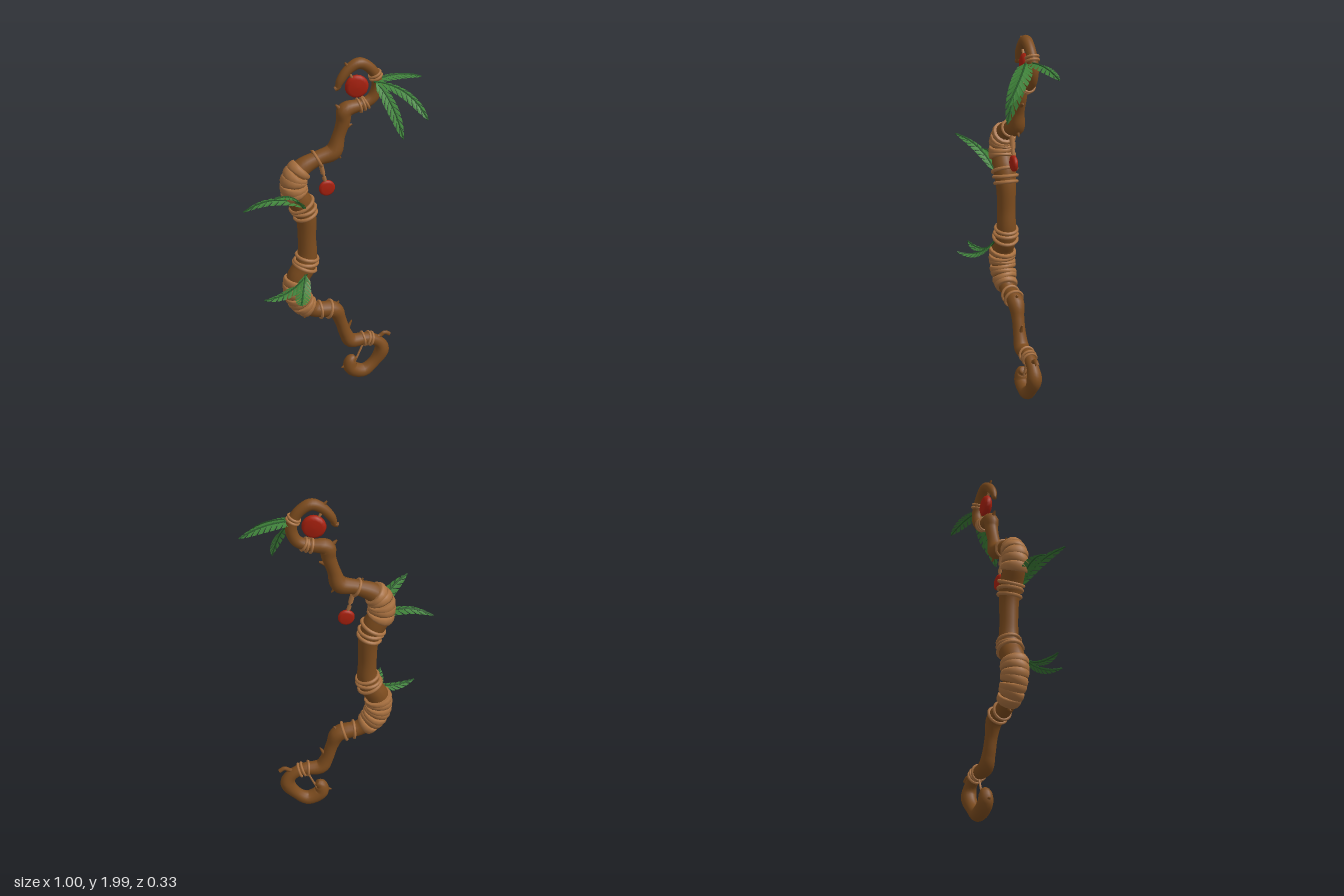
import * as THREE from 'three';

const Z = -0.09; // depth of the bow's centre plane
const V = (x, y, z = Z) => new THREE.Vector3(x, y, z);
const mat = (name, color, side = THREE.FrontSide) => {
  const m = new THREE.MeshStandardMaterial({ color, side });
  m.name = name;
  return m;
};

// Branch spine: x, y, radius
const SPINE = [
  [.02, 1.84, .01], [.04, 1.89, .022], [.085, 1.945, .026], [.14, 1.97, .03], [.195, 1.94, .028], [.23, 1.89, .028],
  [.24, 1.83, .03], [.215, 1.77, .03], [.16, 1.74, .03], [.065, 1.72, .042], [.055, 1.66, .037], [.03, 1.58, .034],
  [0, 1.495, .046], [-.08, 1.47, .04], [-.17, 1.43, .05], [-.215, 1.37, .057], [-.215, 1.29, .06], [-.18, 1.22, .063],
  [-.155, 1.14, .056], [-.15, 1, .05], [-.15, .89, .055], [-.17, .82, .062], [-.205, .76, .062], [-.215, .68, .06],
  [-.185, .6, .056], [-.115, .535, .044], [.005, .505, .046], [.04, .43, .035], [.07, .335, .036], [.105, .275, .042],
  [.21, .265, .034], [.275, .225, .034], [.295, .17, .042], [.245, .09, .034], [.18, .047, .04], [.105, .085, .042],
  [.105, .135, .034], [.13, .155, .018]];
const spine = new THREE.CatmullRomCurve3(SPINE.map(p => new THREE.Vector3(...p)));
const at = t => spine.getPoint(THREE.MathUtils.clamp(t / (SPINE.length - 1), 0, 1));
const dirAt = t => {
  const d = at(t + .05).sub(at(t - .05));
  d.z = 0;
  return d.normalize();
};

// Skin of the branch between two spine stations, with a radius rule
function sleeve(t0, t1, steps, radius, tilt = 0) {
  const sides = 14, pos = [], idx = [];
  const ring = (t, r) => {
    const p = at(t), d = dirAt(t), n = new THREE.Vector3(-d.y, d.x, 0);
    for (let j = 0; j < sides; j++) {
      const a = j / sides * Math.PI * 2, c = Math.cos(a) * r, k = Math.sin(a) * tilt;
      pos.push(p.x + n.x * c + d.x * k, p.y + n.y * c + d.y * k, Z + Math.sin(a) * r);
    }
  };
  ring(t0, .0005);
  for (let i = 0; i <= steps; i++) {
    const u = i / steps, t = t0 + (t1 - t0) * u;
    ring(t, radius(at(t).z, u));
  }
  ring(t1, .0005);
  for (let i = 0; i < steps + 2; i++) for (let j = 0; j < sides; j++) {
    const a = i * sides + j, b = i * sides + (j + 1) % sides;
    idx.push(a, b, a + sides, b, b + sides, a + sides);
  }
  const g = new THREE.BufferGeometry();
  g.setAttribute('position', new THREE.Float32BufferAttribute(pos, 3));
  g.setIndex(idx);
  g.computeVertexNormals();
  return g;
}

// Feathered leaf along a bent rib, made of slanted leaflets
function leafBlade(curve, width) {
  const pos = [], n = 10;
  const rim = (s, side) => {
    s = Math.min(s, 1);
    const d = curve.getTangent(s), w = width * Math.pow(Math.max(0, Math.sin(Math.PI * (.1 + .9 * s))), .65);
    const across = new THREE.Vector3().crossVectors(d, V(0, 1, 0)).normalize();
    return curve.getPoint(s).addScaledVector(across, w * side).add(V(0, -w * .25, 0));
  };
  for (const side of [1, -1]) for (let i = 0; i < n; i++) {
    const s0 = i / n, s1 = (i + 1) / n;
    const q = [curve.getPoint(s0), curve.getPoint(s1), rim(s1 + .1, side), rim(s0 + .125, side)];
    for (const k of side > 0 ? [0, 3, 2, 0, 2, 1] : [0, 2, 3, 0, 1, 2]) pos.push(...q[k].toArray());
  }
  const g = new THREE.BufferGeometry();
  g.setAttribute('position', new THREE.Float32BufferAttribute(pos, 3));
  g.computeVertexNormals();
  return g;
}

export function createModel() {
  const root = new THREE.Group();
  const wood = mat('wood', 0x7d4c1e), wrap = mat('tan binding', 0xa8703f);
  const green = mat('leaf green', 0x3d8038, THREE.DoubleSide), rib = mat('rib green', 0x28592a);
  const red = mat('bead red', 0xa8200e);
  const add = (name, geo, m, parent = root) => {
    const mesh = new THREE.Mesh(geo, m);
    mesh.name = name;
    parent.add(mesh);
    return mesh;
  };
  const tube = (name, pts, r, m) =>
    add(name, new THREE.TubeGeometry(new THREE.CatmullRomCurve3(pts), 12, r, 7), m);

  // Twisted branch with its two hooked ends
  add('branch', sleeve(0, SPINE.length - 1, 190, r => r), wood);

  // Snapped twig stubs: x, y, angle, length
  for (const [x, y, a, l] of [[-.1, 1.49, 2.2, .045], [.03, 1.74, 2.3, .03], [.085, 1.63, .3, .025], [.025, 1.47, -.9, .035],
    [.09, .375, 1.1, .05], [-.15, .51, 3.9, .04], [.02, .54, 1.0, .025], [.08, 1.96, 2.2, .035], [.07, .1, 3.4, .03]]) {
    const stub = add('twigStub', new THREE.CylinderGeometry(.004, .018, l * 1.6, 7), wood);
    stub.position.set(x, y, Z);
    stub.rotation.z = a - Math.PI / 2;
  }
  tube('lowerTwig', [V(.24, .26), V(.28, .265), V(.31, .282), V(.34, .265)], .012, wood);
  tube('hookTip', [V(.035, 1.88), V(.03, 1.855), V(.008, 1.845)], .013, wood);

  // Overlapping cloth strips at both bends
  for (const [start, end, count] of [[14.05, 16.2, 5], [22.1, 24.7, 7]]) {
    const step = (end - start) / count;
    for (let i = 0; i < count; i++) {
      const t = start + i * step;
      add('clothStrip', sleeve(t, t + step * 1.12, 5,
        (r, u) => r + .007 + .009 * Math.sin(Math.PI * (.15 + .7 * u)), i % 2 ? .008 : -.005), wrap);
    }
  }

  // Cord rings: station, thickness, tilt
  for (const [t, r, tilt] of [[17.1, .01, .1], [17.5, .01, -.08], [17.9, .01, .1], [20.05, .01, -.1], [20.45, .01, .12],
    [20.85, .01, -.05], [13.1, .008, .1], [25.3, .008, .15], [25.7, .008, -.1], [29.7, .007, .1], [29.95, .007, -.1],
    [30.2, .007, .1], [7.7, .007, .1], [7.95, .007, -.1], [8.2, .007, .1], [4.8, .007, 0], [5.1, .007, .1]]) {
    const p = at(t), d = dirAt(t);
    const ring = add('cordRing', new THREE.TorusGeometry(p.z + .004, r, 7, 24), wrap);
    ring.position.set(p.x, p.y, Z);
    ring.quaternion.setFromUnitVectors(V(0, 0, 1), d.applyAxisAngle(V(0, 0, 1), tilt));
  }

  // Hanging cords with knots
  tube('pendantCord', [V(-.08, 1.51), V(-.065, 1.42), V(-.042, 1.32)], .007, wrap);
  tube('pendantKnot', [V(-.068, 1.43), V(-.056, 1.375)], .013, wrap);
  tube('pendantLowerKnot', [V(-.053, 1.36), V(-.046, 1.335)], .011, wrap);
  tube('upperCord', [V(.07, 1.95), V(.095, 1.91), V(.115, 1.87)], .007, wrap);
  tube('upperTie', [V(.14, 1.8), V(.155, 1.77), V(.155, 1.72)], .009, wrap);
  tube('lowerCord', [V(.195, .28), V(.165, .2), V(.13, .12)], .006, wrap);

  // Flat rounded beads
  for (const [x, y, r, thick, turn] of [[.128, 1.845, .062, .024, .15], [-.035, 1.285, .045, .015, 0]]) {
    const profile = [[0, -1], [.7, -.95], [.93, -.6], [1, 0], [.93, .6], [.7, .95], [0, 1]]
      .map(([a, b]) => new THREE.Vector2(a * r, b * thick));
    const bead = add('bead', new THREE.LatheGeometry(profile, 18), red);
    bead.position.set(x, y, Z);
    bead.rotation.set(Math.PI / 2, 0, turn);
  }

  // Leaves: base, bend, tip, half width
  for (const [a, b, c, w] of [
    [[.21, 1.87, -.07], [.36, 1.9, -.1], [.5, 1.83, -.13], .043],
    [[.21, 1.87, -.06], [.38, 1.86, .01], [.44, 1.7, .12], .05],
    [[.22, 1.87, -.06], [.29, 1.79, .02], [.325, 1.59, .078], .05],
    [[-.17, 1.22, -.04], [-.34, 1.34, -.05], [-.5, 1.235, -.065], .04],
    [[-.18, 1.21, -.035], [-.25, 1.36, .02], [-.39, 1.385, .12], .042],
    [[-.17, .81, -.03], [-.27, .7, 0], [-.435, .738, .04], .038],
    [[-.18, .81, -.03], [-.22, .7, .04], [-.265, .742, .16], .042]]) {
    const leaf = new THREE.Group();
    leaf.name = 'leaf';
    root.add(leaf);
    const curve = new THREE.QuadraticBezierCurve3(V(...a), V(...b), V(...c));
    add('leafBlade', leafBlade(curve, w), green, leaf);
    add('leafRib', new THREE.TubeGeometry(curve, 12, .005, 5), rib, leaf);
  }
  return root;
}
